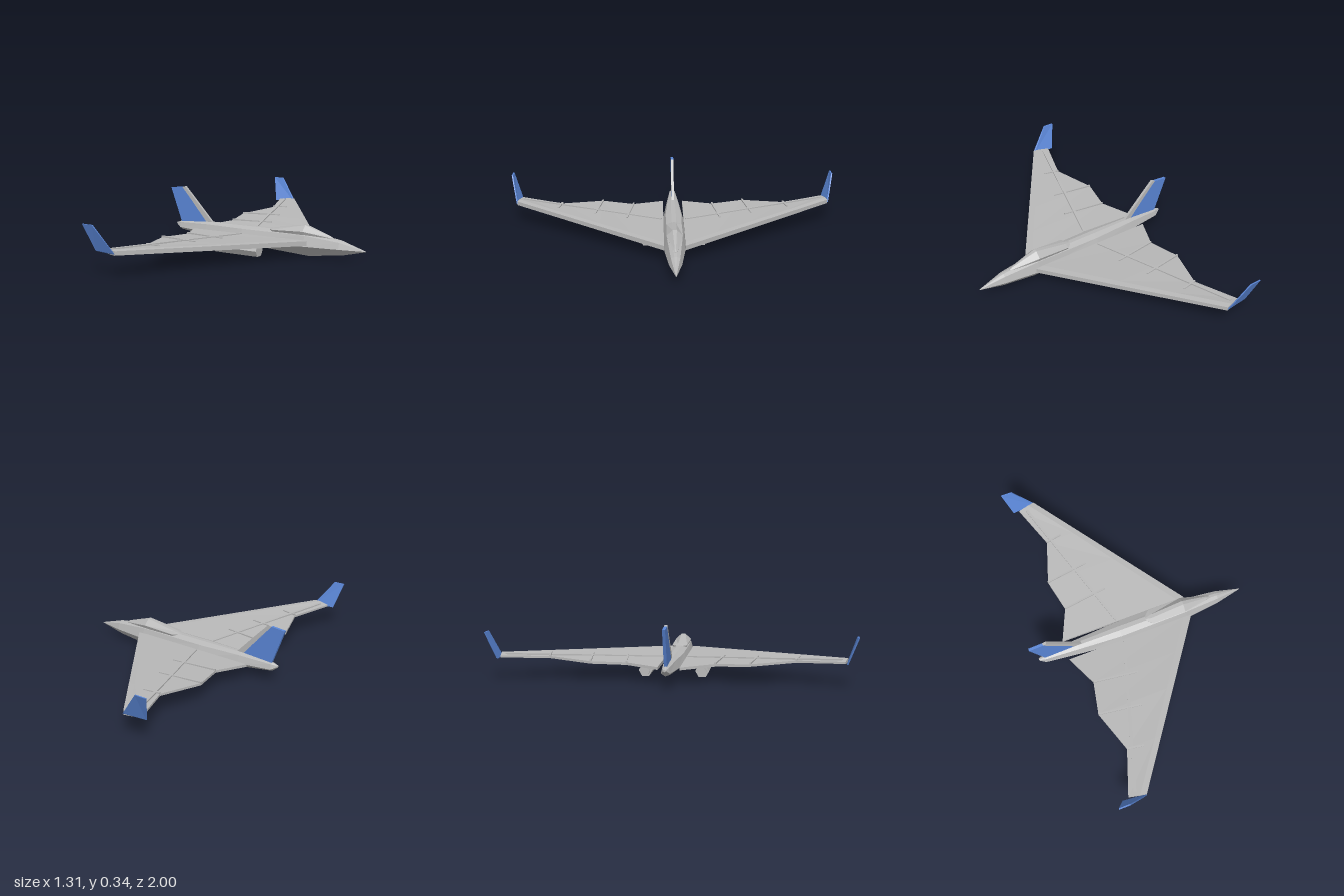
import * as THREE from 'three';

const grey = new THREE.MeshStandardMaterial({ color: 0xb8b8b8 });
const blue = new THREE.MeshStandardMaterial({ color: 0x5a86d6 });
grey.name = 'hullGrey';
blue.name = 'finBlue';

// Joins equal-length rings of [x, y, z] points into a closed, faceted solid facing outward.
function loft(rings) {
  const tris = [];
  const n = rings[0].length;
  for (let i = 0; i < rings.length - 1; i++) {
    for (let j = 0; j < n; j++) {
      const k = (j + 1) % n;
      const [a, b, c, d] = [rings[i][j], rings[i][k], rings[i + 1][k], rings[i + 1][j]];
      tris.push([a, b, c], [a, c, d]);
    }
  }
  const last = rings[rings.length - 1];
  for (let j = 1; j < n - 1; j++) {
    tris.push([rings[0][0], rings[0][j + 1], rings[0][j]], [last[0], last[j], last[j + 1]]);
  }
  const o = new THREE.Vector3(...rings[0][0]);
  let volume = 0;
  for (const t of tris) {
    const [a, b, c] = t.map((p) => new THREE.Vector3(...p).sub(o));
    volume += a.dot(b.cross(c));
  }
  const pos = tris.flatMap((t) => (volume < 0 ? [t[0], t[2], t[1]] : t)).flat();
  const geo = new THREE.BufferGeometry();
  geo.setAttribute('position', new THREE.Float32BufferAttribute(pos, 3));
  geo.computeVertexNormals();
  return geo;
}

function add(parent, name, geo, material) {
  const mesh = new THREE.Mesh(geo, material);
  mesh.name = name;
  parent.add(mesh);
  return mesh;
}

// Upright plate from an [x, y] outline
function plate(outline, half) {
  return loft([-half, half].map((z) => outline.map(([x, y]) => [x, y, z])));
}

// Wing surface heights and leading edge at a spanwise position
const span = (z) => (z - 0.07) / 0.887;
const wingTop = (z) => 0.1 + 0.043 * span(z);
const wingBottom = (z) => 0.073 + 0.047 * span(z);
const leadX = (z) => 0.307 - 0.627 * span(z);

function wingSection(zLead, zTrail, xTrail) {
  const strip = 0.047 - 0.012 * span(zLead);
  const xl = leadX(zLead);
  const zs = zLead - (zLead - zTrail) * 0.4;
  return [
    [xTrail, wingBottom(zTrail) + 0.008, zTrail],
    [xl - strip, wingBottom(zs), zs],
    [xl, wingBottom(zLead), zLead],
    [xl, wingTop(zLead), zLead],
    [xl - strip, wingTop(zs) + 0.003, zs],
    [xTrail, wingTop(zTrail) - 0.004, zTrail],
  ];
}

// Low raised strip on the wing, between two [x, z] points
function ridge([x0, z0], [x1, z1], half) {
  const len = Math.hypot(x1 - x0, z1 - z0);
  const nx = (-(z1 - z0) / len) * half;
  const nz = ((x1 - x0) / len) * half;
  const ring = (x, z) => {
    const y = wingTop(z);
    return [
      [x - nx, y - 0.008, z - nz], [x + nx, y - 0.008, z + nz],
      [x + nx, y + 0.005, z + nz], [x - nx, y + 0.005, z - nz],
    ];
  };
  return loft([ring(x0, z0), ring(x1, z1)]);
}

// Everything on one side; s = 1 for +z, -1 for -z
function buildSide(s) {
  const side = new THREE.Group();
  side.name = s > 0 ? 'nearWing' : 'farWing';
  const put = (name, rings, material) =>
    add(side, name, loft(rings.map((r) => r.map(([x, y, z]) => [x, y, z * s]))), material);
  const putGeo = (name, geo, material) => {
    const p = geo.getAttribute('position').array;
    const pts = [];
    for (let i = 0; i < p.length; i += 9) {
      const t = [0, 3, 6].map((k) => [p[i + k], p[i + k + 1], p[i + k + 2] * s]);
      pts.push(...(s < 0 ? [t[0], t[2], t[1]] : t).flat());
    }
    const g = new THREE.BufferGeometry();
    g.setAttribute('position', new THREE.Float32BufferAttribute(pts, 3));
    g.computeVertexNormals();
    return add(side, name, g, material);
  };

  put('wing', [
    wingSection(0.06, 0.06, -0.452),
    wingSection(0.243, 0.243, -0.37),
    wingSection(0.434, 0.434, -0.41),
    wingSection(0.68, 0.68, -0.33),
    wingSection(0.957, 0.935, -0.42),
  ], grey);

  // Hinge rail and flap tracks
  putGeo('hingeRail', ridge([-0.112, 0.07], [-0.375, 0.92], 0.008), grey);
  [
    [[-0.37, 0.243], [-0.108, 0.278]],
    [[-0.41, 0.434], [-0.16, 0.47]],
    [[-0.33, 0.68], [-0.235, 0.697]],
  ].forEach(([a, b]) => putGeo('flapTrack', ridge(a, b, 0.005), grey));

  // Winglet canted outward
  const foot = [[-0.32, 0.122, 0.952], [-0.455, 0.126, 0.94], [-0.455, 0.13, 0.948], [-0.32, 0.13, 0.962]];
  const head = [[-0.43, 0.276, 0.992], [-0.495, 0.276, 0.992], [-0.495, 0.276, 1], [-0.43, 0.276, 1]];
  put('winglet', [foot, head], blue);

  // Hexagonal engine pod, nozzle and pylon
  const hexagon = (x, r) => Array.from({ length: 6 }, (_, i) => {
    const a = (i * Math.PI) / 3;
    return [x, 0.037 + r * Math.sin(a), 0.16 + r * Math.cos(a)];
  });
  put('engine', [hexagon(-0.22, 0.039), hexagon(0.065, 0.039)], grey);
  put('engineNozzle', [hexagon(-0.25, 0.028), hexagon(-0.21, 0.028)], grey);
  const pylon = add(side, 'pylon', new THREE.BoxGeometry(0.055, 0.03, 0.016), grey);
  pylon.position.set(0.017, 0.08, 0.16 * s);
  return side;
}

export function createModel() {
  const model = new THREE.Group();
  model.name = 'aircraft';

  // Fuselage stations: x, keel, waist height, top, half width
  const stations = [
    [-0.617, 0.098, 0.104, 0.11, 0.008],
    [-0.582, 0.07, 0.085, 0.122, 0.024],
    [-0.38, 0.043, 0.078, 0.134, 0.045],
    [-0.12, 0.024, 0.068, 0.138, 0.067],
    [0.29, 0.001, 0.065, 0.14, 0.06],
    [0.5, 0.026, 0.066, 0.113, 0.036],
    [0.652, 0.063, 0.065, 0.067, 0.002],
  ];
  add(model, 'fuselage', loft(stations.map(([x, b, m, t, w]) => [
    [x, b, 0], [x, m, w], [x, m + (t - m) * 0.8, w * 0.7], [x, t, w * 0.2],
    [x, t, -w * 0.2], [x, m + (t - m) * 0.8, -w * 0.7], [x, m, -w],
  ])), grey);

  // Canopy stations: x, base, shoulder, ridge, half width
  const canopy = [
    [0.045, 0.12, 0.137, 0.139, 0.012],
    [0.08, 0.11, 0.138, 0.145, 0.044],
    [0.28, 0.11, 0.147, 0.18, 0.046],
    [0.435, 0.105, 0.122, 0.13, 0.014],
    [0.452, 0.105, 0.117, 0.121, 0.01],
  ];
  add(model, 'canopy', loft(canopy.map(([x, b, m, t, w]) => [
    [x, b, w * 0.7], [x, m, w], [x, t, w * 0.25],
    [x, t, -w * 0.25], [x, m, -w], [x, b, -w * 0.7],
  ])), grey);

  // Tail fin with a bare leading edge
  add(model, 'tailFin', plate([
    [-0.655, 0.324], [-0.572, 0.332], [-0.49, 0.24], [-0.39, 0.122], [-0.58, 0.118],
  ], 0.008), blue);
  add(model, 'finLeadingEdge', plate([
    [-0.572, 0.332], [-0.552, 0.338], [-0.49, 0.275], [-0.352, 0.13], [-0.39, 0.122], [-0.49, 0.24],
  ], 0.008), grey);

  model.add(buildSide(1), buildSide(-1));
  return model;
}
